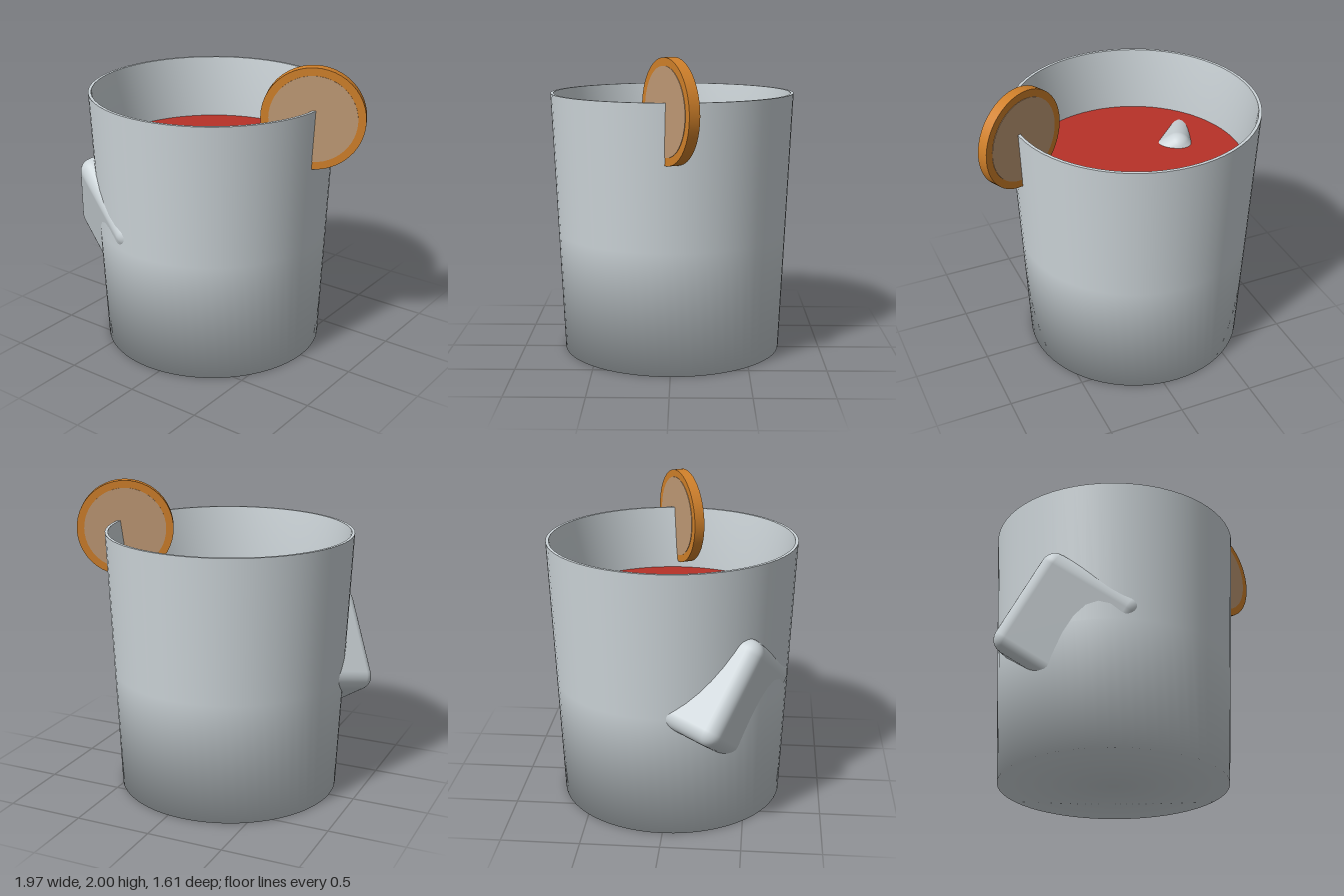
import * as THREE from 'three';
import { RoundedBoxGeometry } from 'three/addons/geometries/RoundedBoxGeometry.js';

const material = (name, color) => {
  const m = new THREE.MeshStandardMaterial({ color });
  m.name = name;
  return m;
};
const points = (list) => list.map(([x, y]) => new THREE.Vector2(x, y));

export function createModel() {
  const glassMat = material('pale glass', 0xccd4d8);
  const drinkMat = material('red drink', 0xb83228);
  const rindMat = material('orange rind', 0xd0802a);
  const pulpMat = material('orange pulp', 0xc09a76);

  const model = new THREE.Group();
  const add = (parent, name, geometry, mat) => {
    const mesh = new THREE.Mesh(geometry, mat);
    mesh.name = name;
    parent.add(mesh);
    return mesh;
  };

  // Tumbler: tapered wall with a soft base, an inner wall and a flat rim
  const H = 1.73, R = 0.805, rInner = 0.785, level = 1.31;
  const tumbler = new THREE.Group();
  tumbler.name = 'tumbler';
  tumbler.position.x = -0.1;
  model.add(tumbler);
  add(tumbler, 'outerWall', new THREE.LatheGeometry(
    points([[0, 0], [0.73, 0], [0.765, 0.8], [R, H]]), 64), glassMat);
  add(tumbler, 'innerWall', new THREE.LatheGeometry(
    points([[rInner, H], [0.735, level], [0.70, 0.04]]), 64), glassMat);
  const rim = add(tumbler, 'rim', new THREE.RingGeometry(rInner, R, 64), glassMat);
  rim.rotation.x = -Math.PI / 2;
  rim.position.y = H;

  // Drink filling the tumbler
  const drink = add(tumbler, 'drink',
    new THREE.CylinderGeometry(0.735, 0.70, level - 0.04, 64), drinkMat);
  drink.position.y = (level + 0.04) / 2;

  // Ice cube, tilted, poking through the wall and the drink's surface
  const r = 0.09, core = new THREE.Vector3(0.53, 0.53, 0.48);
  const out = new THREE.Vector3(-0.46, -0.22, 0.86).normalize();
  const down = new THREE.Vector3(-0.22, -0.44, -0.23);
  down.addScaledVector(out, -down.dot(out)).normalize();
  const up = down.clone().negate();
  const side = new THREE.Vector3().crossVectors(up, out);
  const ice = add(model, 'iceCube', new RoundedBoxGeometry(
    core.x + 2 * r, core.y + 2 * r, core.z + 2 * r, 4, r), glassMat);
  ice.quaternion.setFromRotationMatrix(new THREE.Matrix4().makeBasis(side, up, out));
  ice.position.set(-0.69, 1.18, 0.52)
    .addScaledVector(side, core.x / 2)
    .addScaledVector(up, -core.y / 2)
    .addScaledVector(out, -core.z / 2);

  // Fruit slice set across the rim: rind disc with a thin pulp plate on each face
  const slice = new THREE.Group();
  slice.name = 'fruitSlice';
  slice.position.set(0.672, 1.675, 0);
  slice.rotation.y = 0.47;
  model.add(slice);
  const thick = 0.07;
  add(slice, 'rind', new THREE.CylinderGeometry(0.325, 0.325, thick, 48)
    .rotateX(Math.PI / 2), rindMat);
  for (const s of [1, -1]) {
    const pulp = add(slice, s > 0 ? 'frontPulp' : 'backPulp',
      new THREE.CylinderGeometry(0.275, 0.275, 0.006, 48).rotateX(Math.PI / 2), pulpMat);
    pulp.position.z = s * (thick / 2);
  }
  return model;
}
